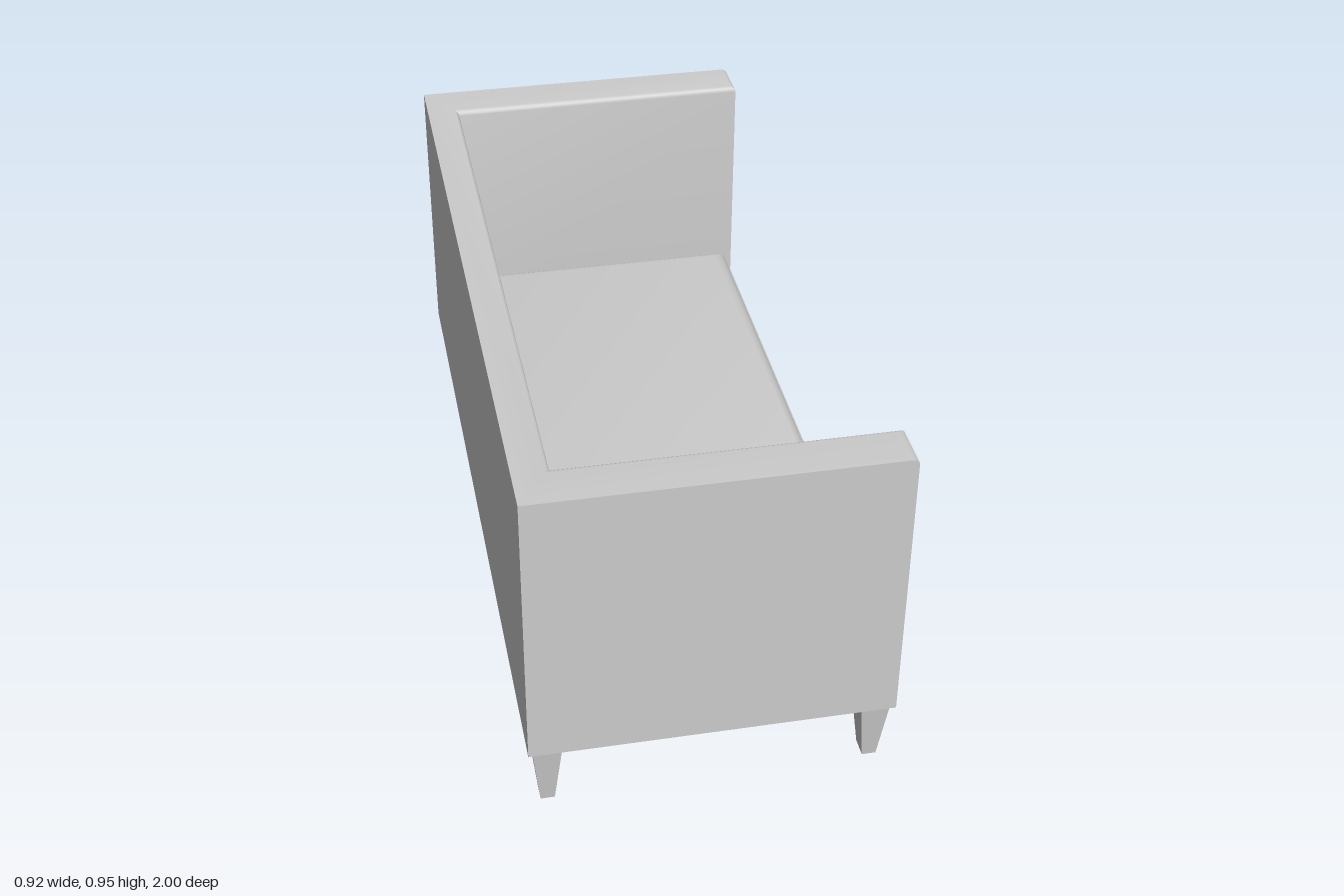
import * as THREE from 'three';
import { toCreasedNormals } from 'three/addons/utils/BufferGeometryUtils.js';

const material = new THREE.MeshStandardMaterial({ color: 0xcccccc });

// Solid from stacked outlines. Each ring is { y, pts }, with pts counter-clockwise [x, -z] seen from above.
function loft(rings, crease = 0.6) {
  const out = [];
  const put = (ring, j) => {
    const [x, w] = ring.pts[j % ring.pts.length];
    out.push(x, ring.y, -w);
  };
  const count = rings[0].pts.length;
  for (let i = 0; i < rings.length - 1; i++) {
    const lo = rings[i], hi = rings[i + 1];
    for (let j = 0; j < count; j++) {
      put(lo, j); put(lo, j + 1); put(hi, j + 1);
      put(lo, j); put(hi, j + 1); put(hi, j);
    }
  }
  const first = rings[0], last = rings[rings.length - 1];
  const cap = (ring) => THREE.ShapeUtils.triangulateShape(ring.pts.map((p) => new THREE.Vector2(...p)), []);
  for (const [a, b, c] of cap(last)) [a, b, c].forEach((k) => put(last, k));
  for (const [a, b, c] of cap(first)) [c, b, a].forEach((k) => put(first, k));
  const geometry = new THREE.BufferGeometry();
  geometry.setAttribute('position', new THREE.Float32BufferAttribute(out, 3));
  return toCreasedNormals(geometry, crease);
}

const rect = (x0, x1, hz) => [[x0, -hz], [x1, -hz], [x1, hz], [x0, hz]];

// U-shaped plan of back and arms; d pulls in the inner and front edges
const uPlan = (d) => [
  [-0.46, -1], [0.46 - d, -1], [0.46 - d, -0.875 - d], [-0.37 - d, -0.875 - d],
  [-0.37 - d, 0.875 + d], [0.46 - d, 0.875 + d], [0.46 - d, 1], [-0.46, 1],
];

export function createModel() {
  const group = new THREE.Group();
  const add = (name, geometry) => {
    const mesh = new THREE.Mesh(geometry, material);
    mesh.name = name;
    group.add(mesh);
    return mesh;
  };

  // Back and arms, with a small rounding along the inner and front top edges
  const r = 0.015;
  const shell = [{ y: 0.185, pts: uPlan(0) }];
  for (let i = 0; i <= 4; i++) {
    const a = (i / 4) * Math.PI / 2;
    shell.push({ y: 0.955 - r + r * Math.sin(a), pts: uPlan(r * (1 - Math.cos(a))) });
  }
  add('backAndArms', loft(shell));

  // Seat base between the arms
  add('seatBase', new THREE.BoxGeometry(0.83, 0.135, 1.75)).position.set(0.045, 0.2525, 0);

  // Cushion with rounded sides
  const cushion = [];
  for (let i = 0; i <= 8; i++) {
    const a = (i / 8) * Math.PI / 2;
    const d = 0.048 * (1 - Math.cos(a));
    cushion.push({ y: 0.32 + 0.085 * Math.sin(a), pts: rect(-0.355 + d, 0.447 - d, 0.873 - d) });
  }
  add('seatCushion', loft(cushion));

  // Four tapered legs
  const leg = loft([
    { y: 0, pts: rect(-0.018, 0.018, 0.026) },
    { y: 0.185, pts: rect(-0.037, 0.037, 0.05) },
  ], 0.1);
  for (const sx of [-1, 1]) {
    for (const sz of [-1, 1]) {
      add((sx > 0 ? 'front' : 'rear') + 'Leg', leg).position.set(0.412 * sx, 0, 0.938 * sz);
    }
  }
  return group;
}
